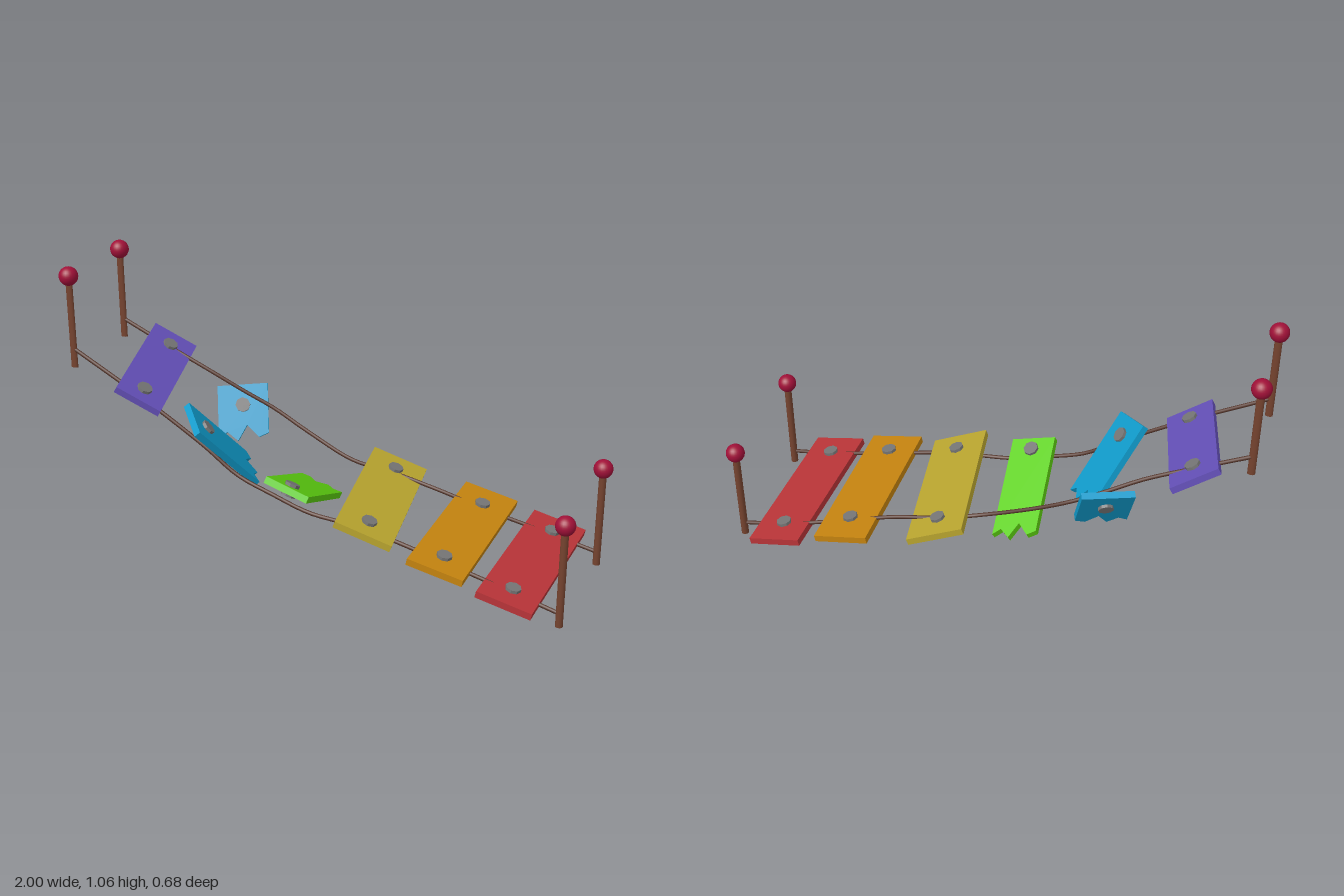
import * as THREE from 'three';

const V = (p) => new THREE.Vector3(...p);
const mat = (color, flatShading = false) => new THREE.MeshStandardMaterial({ color, flatShading });

const wood = mat(0x75432f);
const ropeMat = mat(0x55352a);
const knobMat = mat(0xa01038);
const boltMat = mat(0x757575, true);
const THICK = 0.026;

// Splintered end: fraction across the board, offset along it
const JAGS = [[1, 0.01], [0.82, -0.012], [0.62, 0.025], [0.42, -0.035], [0.2, 0.015], [0, 0]];

// A board laid out from three corners of its upper face: a-b is the width, a-c the length.
// bolts lists distances from the a-b edge; a broken board has a splintered c end.
function board(name, color, a, b, c, bolts, broken = false) {
  const A = V(a);
  const X = V(b).sub(A);
  const Y = V(c).sub(A);
  const w = X.length();
  const Z = X.clone().cross(Y).normalize();
  X.normalize();
  const L = Y.dot(new THREE.Vector3().crossVectors(Z, X));
  const skew = Y.dot(X);
  Y.crossVectors(Z, X);

  const shape = new THREE.Shape();
  shape.moveTo(0, 0);
  shape.lineTo(w, 0);
  if (broken) JAGS.forEach(([u, d]) => shape.lineTo(u * w + skew, L + d));
  else {
    shape.lineTo(w + skew, L);
    shape.lineTo(skew, L);
  }
  shape.closePath();

  const group = new THREE.Group();
  group.name = name;
  const geo = new THREE.ExtrudeGeometry(shape, { depth: THICK, bevelEnabled: false });
  geo.translate(0, 0, -THICK);
  const plank = new THREE.Mesh(geo, mat(color, true));
  plank.name = name + 'Plank';
  group.add(plank);

  // Bolts run right through the board and stand proud on both faces
  for (const d of bolts) {
    const bolt = new THREE.Mesh(new THREE.CylinderGeometry(0.029, 0.029, 0.05, 8), boltMat);
    bolt.name = 'bolt';
    bolt.rotation.x = Math.PI / 2;
    bolt.position.set(w / 2 + skew * d / L, d, -THICK / 2);
    group.add(bolt);
  }
  group.quaternion.setFromRotationMatrix(new THREE.Matrix4().makeBasis(X, Y, Z));
  group.position.copy(A);
  return group;
}

// A post with a round knob on top
function post(x, z, bottom, top, depthScale) {
  const group = new THREE.Group();
  group.name = 'post';
  const pole = new THREE.Mesh(new THREE.CylinderGeometry(0.014, 0.014, top - bottom, 12), wood);
  pole.name = 'pole';
  pole.scale.z = depthScale;
  pole.position.y = (top + bottom) / 2;
  const knob = new THREE.Mesh(new THREE.SphereGeometry(0.036, 24, 16), knobMat);
  knob.name = 'knob';
  knob.position.y = top;
  group.add(pole, knob);
  group.position.set(x, 0, z);
  return group;
}

function rope(name, points) {
  const curve = new THREE.CatmullRomCurve3(points.map(V), false, 'centripetal');
  const mesh = new THREE.Mesh(new THREE.TubeGeometry(curve, 60, 0.0075, 8), ropeMat);
  mesh.name = name;
  return mesh;
}

export function createModel() {
  const model = new THREE.Group();
  model.name = 'ropeBridge';

  // Posts: high end, then low end
  model.add(
    post(-0.965, 0.257, 0.66, 1.02, 0.6), post(-0.965, -0.1, 0.66, 1.02, 0.6),
    post(0.96, 0.246, 0, 0.395, 1), post(0.96, -0.238, 0, 0.395, 1),
  );

  // Sagging ropes
  model.add(
    rope('frontRope', [
      [-0.965, 0.735, 0.257], [-0.67, 0.575, 0.25], [-0.43, 0.43, 0.245], [-0.29, 0.335, 0.245],
      [-0.15, 0.285, 0.245], [0, 0.24, 0.245], [0.13, 0.226, 0.24], [0.25, 0.212, 0.24],
      [0.52, 0.15, 0.235], [0.78, 0.088, 0.235], [0.96, 0.05, 0.246],
    ]),
    rope('backRope', [
      [-0.965, 0.735, -0.1], [-0.75, 0.635, -0.112], [-0.6, 0.565, -0.125], [-0.46, 0.49, -0.15],
      [-0.34, 0.43, -0.17], [-0.2, 0.36, -0.168], [0, 0.275, -0.163], [0.14, 0.245, -0.187],
      [0.35, 0.2, -0.195], [0.52, 0.152, -0.21], [0.78, 0.088, -0.235], [0.96, 0.05, -0.238],
    ]),
  );

  // Whole boards
  model.add(
    board('redBoard', 0xb83438, [0.68, 0.118, 0.33], [0.885, 0.075, 0.33], [0.68, 0.118, -0.345], [0.1, 0.57]),
    board('orangeBoard', 0xc4830f, [0.42, 0.188, 0.33], [0.63, 0.146, 0.328], [0.405, 0.19, -0.33], [0.1, 0.54]),
    board('yellowBoard', 0xb9a52f, [0.145, 0.28, 0.338], [0.35, 0.206, 0.3], [0.04, 0.29, -0.28], [0.09, 0.53]),
    board('purpleBoard', 0x6450b8, [-0.745, 0.64, 0.322], [-0.59, 0.55, 0.275], [-0.86, 0.708, -0.168], [0.075, 0.42]),
  );

  // Broken boards
  model.add(
    board('greenBoard', 0x5dd010, [-0.16, 0.366, 0.267], [0.01, 0.316, 0.267], [-0.197, 0.205, -0.11], [0.05], true),
    board('blueFrontHalf', 0x109bcb, [-0.52, 0.562, 0.183], [-0.405, 0.515, 0.312], [-0.387, 0.305, -0.012], [0.075], true),
    board('blueBackHalf', 0x109bcb, [-0.39, 0.515, -0.21], [-0.567, 0.503, -0.125], [-0.348, 0.342, -0.13], [0.08], true),
  );

  return model;
}
